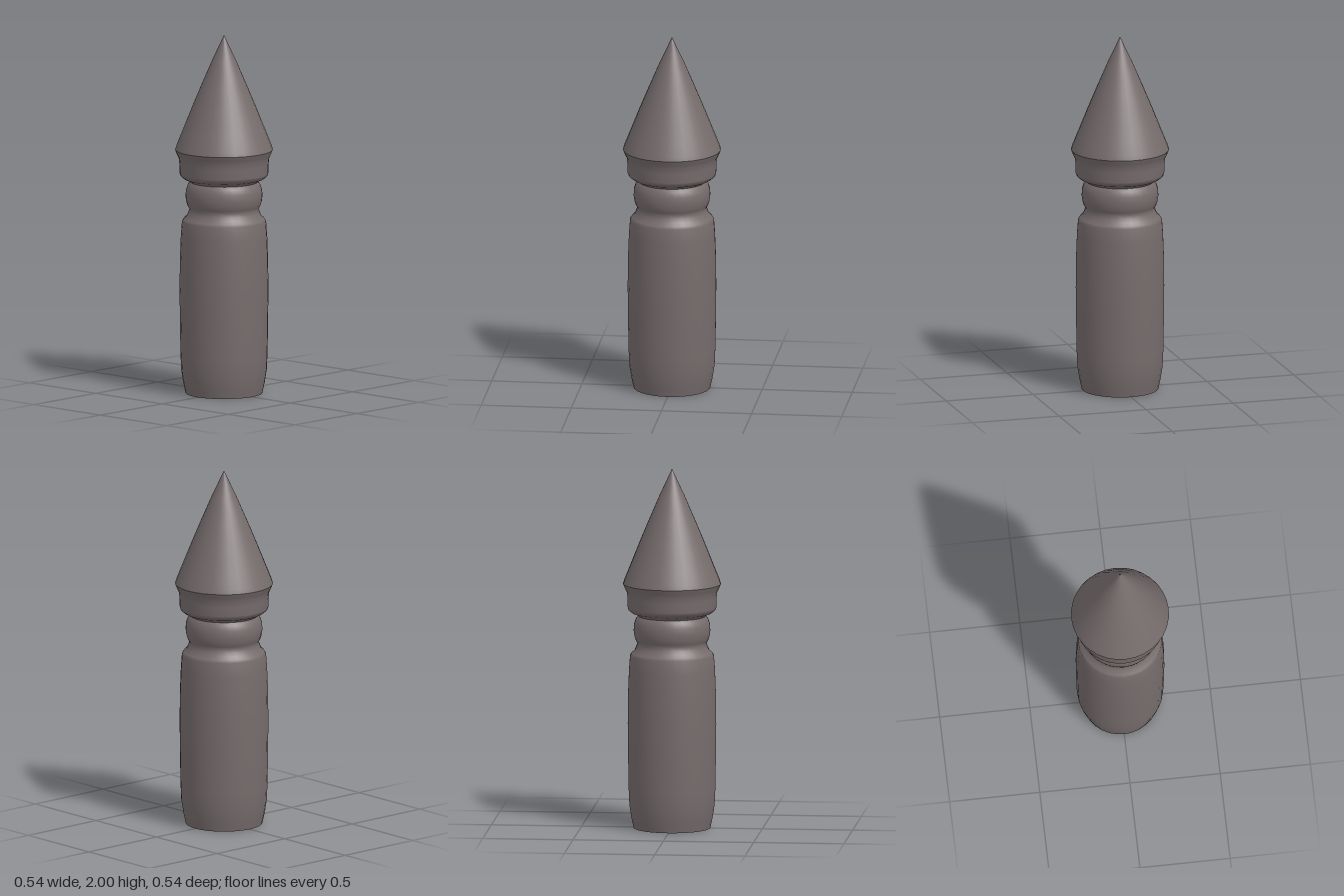
import * as THREE from 'three';

const SIDES = 32;

export function createModel() {
  const group = new THREE.Group();
  const material = new THREE.MeshStandardMaterial({ color: 0x766c6c });

  // Each part is turned from [radius, height] pairs, bottom to top.
  const turn = (name, profile) => {
    const points = profile.map(([r, y]) => new THREE.Vector2(r, y));
    const mesh = new THREE.Mesh(new THREE.LatheGeometry(points, SIDES), material);
    mesh.name = name;
    group.add(mesh);
  };

  // Flat underside
  const base = new THREE.Mesh(new THREE.CircleGeometry(0.212, SIDES), material);
  base.name = 'base';
  base.rotation.x = Math.PI / 2;
  group.add(base);

  // Gently swelling post with a rounded shoulder
  turn('shaft', [
    [0.212, 0], [0.225, 0.06], [0.236, 0.13], [0.24, 0.22], [0.243, 0.4], [0.245, 0.58],
    [0.243, 0.75], [0.238, 0.88], [0.232, 0.96], [0.222, 0.975], [0.206, 0.99], [0.198, 1.01],
  ]);

  // Neck groove and rounded bead
  turn('neckBead', [
    [0.198, 1.01], [0.19, 1.03], [0.2, 1.045], [0.208, 1.07], [0.212, 1.1],
    [0.21, 1.135], [0.2, 1.165], [0.186, 1.18],
  ]);

  // Collar flaring out beneath the point
  turn('collar', [
    [0.186, 1.18], [0.195, 1.19], [0.222, 1.2], [0.24, 1.215], [0.245, 1.23],
    [0.246, 1.28], [0.25, 1.315], [0.26, 1.335], [0.27, 1.36],
  ]);

  // Pointed tip, slightly bellied
  turn('point', [
    [0.27, 1.36], [0.262, 1.385], [0.236, 1.45], [0.176, 1.6], [0.13, 1.71], [0.07, 1.85], [0, 2],
  ]);

  return group;
}
